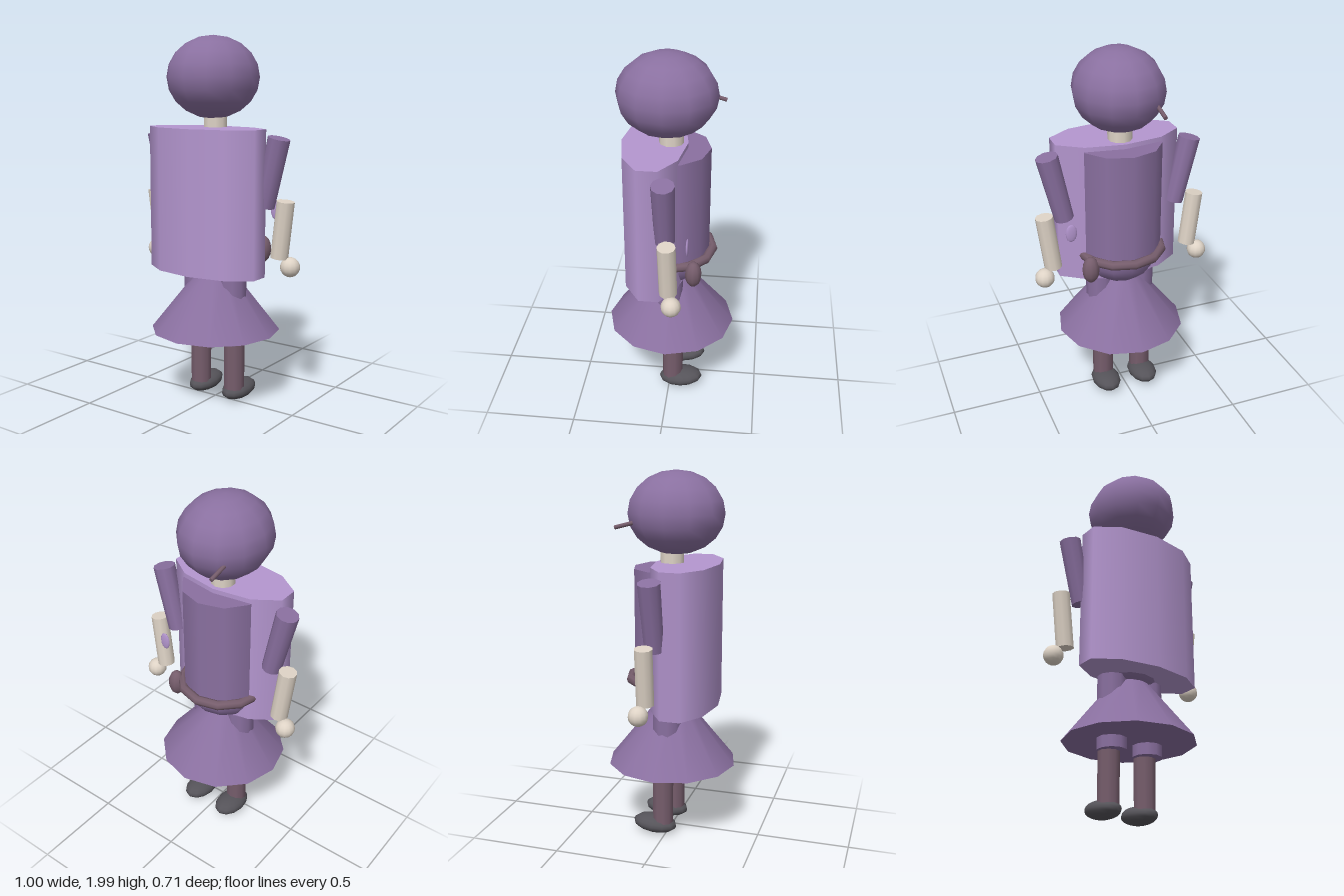
import * as THREE from 'three';

const mat = (color) => new THREE.MeshStandardMaterial({ color });
const purple = mat(0x8a70a0), lavender = mat(0xb496cf), brown = mat(0x765d6c);
const cream = mat(0xded3c6), dark = mat(0x555359);

export function createModel() {
  const model = new THREE.Group();

  const add = (name, geometry, material, x = 0, y = 0, z = 0) => {
    const mesh = new THREE.Mesh(geometry, material);
    mesh.name = name;
    mesh.position.set(x, y, z);
    model.add(mesh);
    return mesh;
  };

  // Faceted ellipsoid
  const ball = (name, material, pos, size, w = 12, h = 8) => {
    const mesh = add(name, new THREE.SphereGeometry(1, w, h), material, ...pos);
    mesh.scale.set(...size);
    return mesh;
  };

  // Tapered limb between two points
  const limb = (name, material, from, to, rFrom, rTo, sides = 10) => {
    const a = new THREE.Vector3(...from), b = new THREE.Vector3(...to);
    const dir = a.clone().sub(b);
    const mesh = add(name, new THREE.CylinderGeometry(rFrom, rTo, dir.length(), sides), material);
    mesh.position.copy(a).add(b).multiplyScalar(0.5);
    mesh.quaternion.setFromUnitVectors(new THREE.Vector3(0, 1, 0), dir.normalize());
    return mesh;
  };

  // Head, hair pin and neck
  ball('head', purple, [0, 1.782, 0.022], [0.242, 0.218, 0.263], 12, 10);
  limb('hairPin', brown, [-0.135, 1.735, -0.17], [-0.135, 1.708, -0.272], 0.011, 0.011, 8);
  add('neck', new THREE.CylinderGeometry(0.065, 0.065, 0.14, 10), cream, 0, 1.54, 0);

  // Ten-sided front panel
  const panel = add('frontPanel', new THREE.CylinderGeometry(1, 1, 0.775, 10), lavender, 0, 1.1325, 0.086);
  panel.scale.set(0.357, 1, 0.174);

  // Torso, rounded belly and belt
  const torso = add('torso', new THREE.CylinderGeometry(1, 1, 0.62, 10), purple, 0, 1.185, 0);
  torso.scale.set(0.225, 1, 0.208);
  ball('belly', purple, [0, 0.87, 0], [0.21, 0.175, 0.2], 12, 10);
  const belt = add('belt', new THREE.TorusGeometry(0.228, 0.026, 8, 12), brown, 0, 0.888, 0);
  belt.rotation.x = Math.PI / 2;

  // Pouch and small side disc
  ball('pouch', brown, [0.218, 0.855, -0.14], [0.047, 0.075, 0.045], 10, 8);
  ball('sideDisc', lavender, [0.313, 1.08, -0.115], [0.031, 0.05, 0.008], 12, 8);

  // Flared skirt
  add('skirt', new THREE.CylinderGeometry(0.105, 0.355, 0.315, 12), purple, 0, 0.5625, 0);

  // Paired limbs
  for (const [side, s] of [['left', 1], ['right', -1]]) {
    limb(side + 'UpperArm', purple, [s * 0.397, 1.475, 0], [s * 0.315, 1.115, 0], 0.06, 0.053);
    limb(side + 'Forearm', cream, [s * 0.43, 1.15, -0.02], [s * 0.392, 0.847, -0.025], 0.048, 0.048);
    ball(side + 'Hand', cream, [s * 0.447, 0.8, -0.045], [0.053, 0.053, 0.053], 12, 10);
    limb(side + 'Thigh', purple, [s * 0.115, 0.74, 0.005], [s * 0.112, 0.342, 0.006], 0.08, 0.081);
    limb(side + 'Shin', brown, [s * 0.113, 0.4, -0.02], [s * 0.113, 0.06, -0.02], 0.06, 0.058);
    const foot = ball(side + 'Foot', dark, [s * 0.113, 0.055, -0.067], [0.079, 0.049, 0.124], 12, 10);
    foot.rotation.x = 0.08;
  }

  return model;
}
